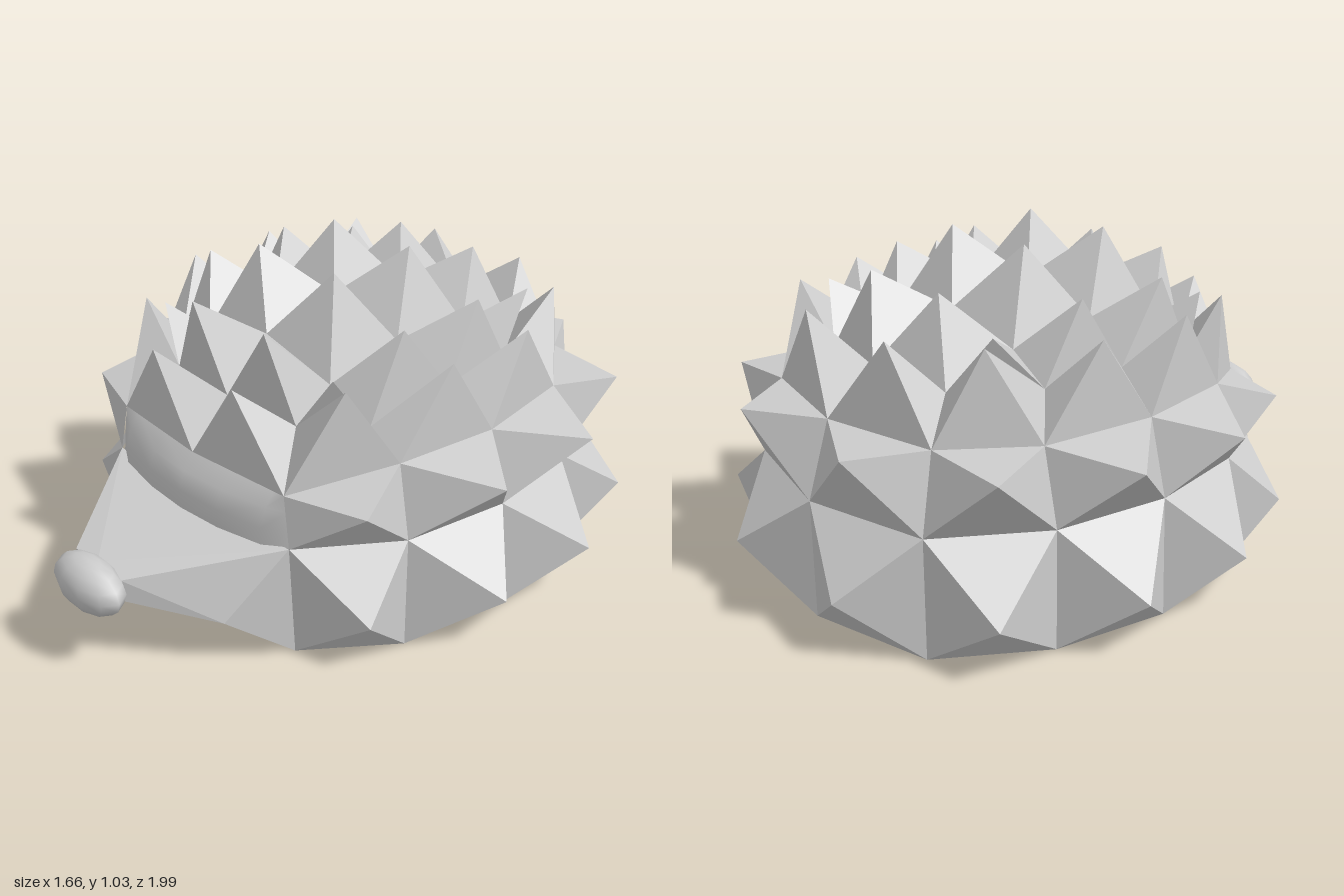
import * as THREE from 'three';
import { mergeVertices } from 'three/addons/utils/BufferGeometryUtils.js';

const flat = new THREE.MeshStandardMaterial({ color: 0xcccccc, flatShading: true });
const smooth = new THREE.MeshStandardMaterial({ color: 0xcccccc });

// Collects polygons of the left (+x) half and their mirror images
function makeShell() {
  const pos = [];
  const face = (...p) => {
    for (let i = 1; i < p.length - 1; i++) {
      const t = [p[0], p[i], p[i + 1]];
      t.forEach(([x, y, z]) => pos.push(x, y, z));
      t.reverse().forEach(([x, y, z]) => pos.push(-x, y, z));
    }
  };
  // Pyramid without a base: outline counter-clockwise from outside
  const spike = (tip, ...base) => base.forEach((p, i) => face(p, base[(i + 1) % base.length], tip));
  const geometry = () => {
    const g = new THREE.BufferGeometry();
    g.setAttribute('position', new THREE.Float32BufferAttribute(pos, 3));
    g.computeVertexNormals();
    return g;
  };
  return { face, spike, geometry };
}

// Half rings from front to back, 30 degrees apart
const ring = (y, xz) => xz.map(([x, z]) => [x, y, z]);
const base = ring(0, [[0, 0.55], [0.4, 0.48], [0.6, 0.22], [0.67, -0.13], [0.6, -0.49], [0.4, -0.79], [0, -0.885]]);
const waist = ring(0.37, [[0, 0.51], [0.4, 0.5], [0.6, 0.22], [0.66, -0.13], [0.6, -0.49], [0.4, -0.79], [0, -0.885]]);
const shoulder = [[0, 0.53, 0.52], [0.37, 0.53, 0.49], [0.55, 0.6, 0.21], [0.6, 0.6, -0.13],
  [0.55, 0.6, -0.49], [0.37, 0.6, -0.73], [0, 0.6, -0.81]];
const crown = [[0, 0.67, 0.38], [0.27, 0.66, 0.35], [0.43, 0.67, 0.21], [0.45, 0.7, -0.1],
  [0.43, 0.7, -0.38], [0.27, 0.7, -0.6], [0, 0.72, -0.65]];
// Two columns of points on top of the back
const ridge = [[0, 0.82, 0.22], [0, 0.87, -0.06], [0, 0.83, -0.36]];
const flank = [[0.275, 0.75, 0.22], [0.275, 0.8, -0.06], [0.275, 0.77, -0.36]];

// Spike tips of each band, from front to back (null leaves room for the face)
const lowerTips = [null, [0.65, 0.185, 0.42], [0.83, 0.185, 0.04], [0.83, 0.185, -0.36], [0.665, 0.185, -0.75], [0.25, 0.185, -0.99]];
const middleTips = [null, [0.62, 0.53, 0.41], [0.8, 0.55, 0.04], [0.8, 0.56, -0.36], [0.63, 0.58, -0.72], [0.25, 0.59, -0.94]];
const upperTips = [[0.18, 0.8, 0.51], [0.45, 0.83, 0.33], [0.575, 0.86, 0.03], [0.575, 0.86, -0.3], [0.44, 0.87, -0.6], [0.19, 0.86, -0.74]];

function spikyBand(lower, upper, tips) {
  const s = makeShell();
  tips.forEach((tip, i) => {
    if (tip) s.spike(tip, lower[i], lower[i + 1], upper[i + 1], upper[i]);
  });
  return s.geometry();
}

function backSpikes() {
  const s = makeShell();
  const c = crown;
  // Centre block
  s.spike([0.165, 1.03, 0.1], ridge[0], flank[0], flank[1], ridge[1]);
  s.spike([0.165, 1.03, -0.22], ridge[1], flank[1], flank[2], ridge[2]);
  // Front and back
  s.spike([0.16, 0.92, 0.37], c[0], c[1], flank[0], ridge[0]);
  s.spike([0.16, 0.945, -0.53], c[5], c[6], ridge[2], flank[2]);
  // Sides and corners
  s.spike([0.43, 0.93, 0.08], c[2], c[3], flank[1], flank[0]);
  s.spike([0.43, 0.93, -0.24], c[3], c[4], flank[2], flank[1]);
  s.spike([0.38, 0.83, 0.31], c[1], c[2], flank[0]);
  s.spike([0.39, 0.87, -0.53], c[4], c[5], flank[2]);
  return s.geometry();
}

function snoutGeometry() {
  const s = makeShell();
  const cheek = [0.32, 0.16, 0.68], chin = [0, 0.16, 0.69];
  const top = [0.11, 0.3, 0.88], topMid = [0, 0.31, 0.88];
  const low = [0.11, 0.23, 0.88], lowMid = [0, 0.22, 0.88];
  s.face(topMid, top, waist[1], waist[0]);
  s.face(top, cheek, waist[1]);
  s.face(top, low, cheek);
  s.face(cheek, base[1], waist[1]);
  s.face(base[0], base[1], cheek, chin);
  s.face(chin, cheek, low, lowMid);
  s.face(lowMid, low, top, topMid);
  return s.geometry();
}

// Rounded brow between snout and spikes
function browGeometry() {
  const s = makeShell();
  const profile = [[0.355, 0.575], [0.42, 0.575], [0.48, 0.555], [0.53, 0.515]];
  const columns = [[0, 0], [0.16, -0.01], [0.32, -0.04]].map(([x, dz]) =>
    profile.map(([y, z]) => [x, y, z + dz]));
  columns.push(profile.map(([y], i) => [0.4 - 0.01 * i, y, 0.49]));
  for (let c = 0; c < 3; c++)
    for (let r = 0; r < 3; r++)
      s.face(columns[c][r], columns[c + 1][r], columns[c + 1][r + 1], columns[c][r + 1]);
  const g = s.geometry();
  g.deleteAttribute('normal');
  const merged = mergeVertices(g, 1e-4);
  merged.computeVertexNormals();
  return merged;
}

function bellyGeometry() {
  const s = makeShell();
  for (let i = 0; i < 6; i++) s.face([0, 0, -0.13], base[i + 1], base[i]);
  return s.geometry();
}

export function createModel() {
  const model = new THREE.Group();
  model.name = 'hedgehog';
  const add = (name, geometry, material = flat) => {
    const mesh = new THREE.Mesh(geometry, material);
    mesh.name = name;
    mesh.position.x = 0.02;
    model.add(mesh);
    return mesh;
  };
  add('lowerSpikes', spikyBand(base, waist, lowerTips));
  add('middleSpikes', spikyBand(waist, shoulder, middleTips));
  add('upperSpikes', spikyBand(shoulder, crown, upperTips));
  add('backSpikes', backSpikes());
  add('belly', bellyGeometry());
  add('snout', snoutGeometry());
  add('brow', browGeometry(), smooth);

  const nose = add('nose', new THREE.SphereGeometry(1, 10, 8), smooth);
  nose.scale.set(0.145, 0.083, 0.075);
  nose.position.set(0.04, 0.268, 0.925);
  return model;
}
